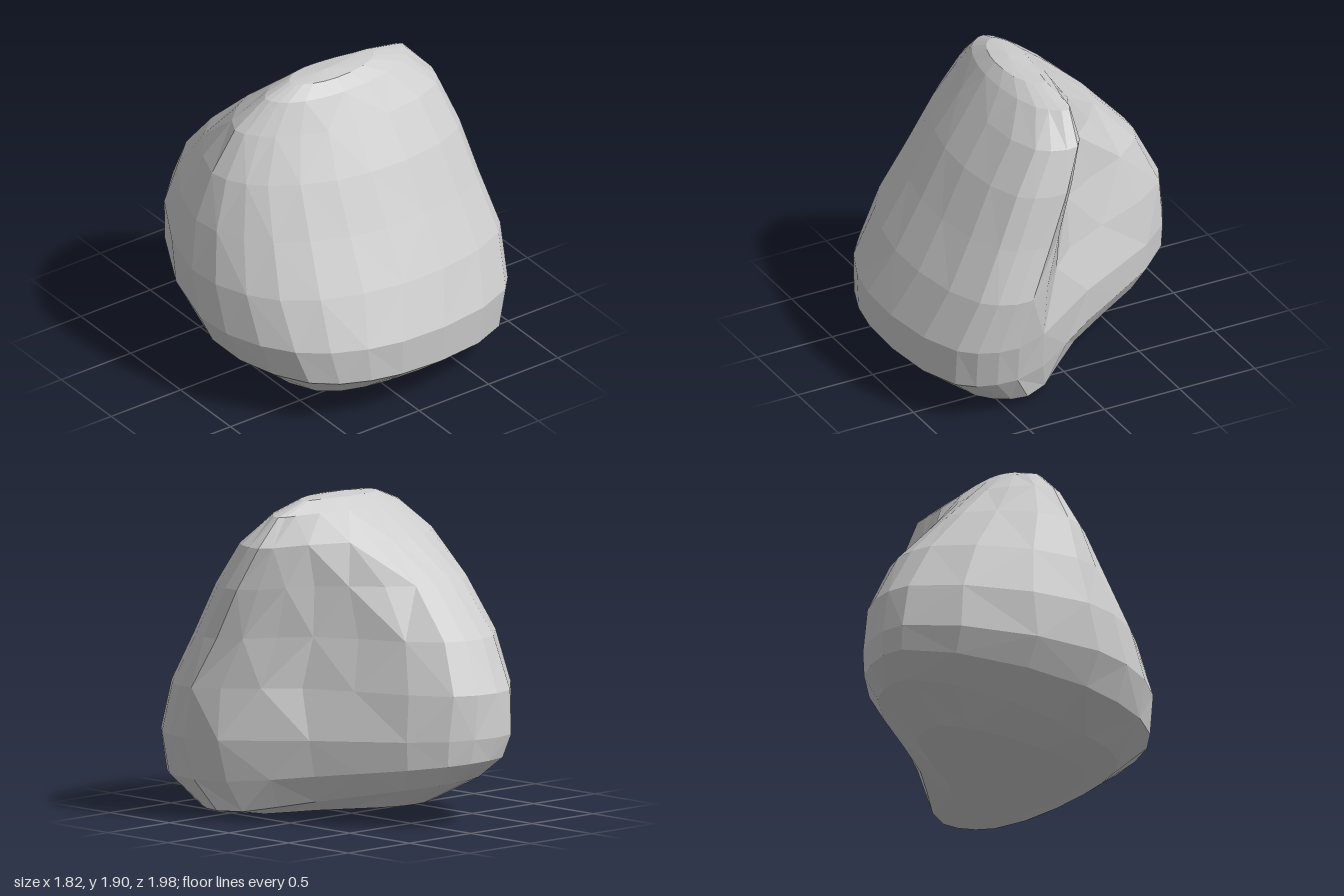
import * as THREE from 'three';

// Horizontal sections: height, then eight x,z pairs counter-clockwise from above:
// front left corner, front middle, front right corner, slab edge,
// hollow, rear ridge right, rear ridge left, flank.
const SECTIONS = [
  [0.10, -0.48, 0.64, -0.05, 0.76, 0.60, 0.64, 0.74, 0.37, 0.41, -0.12, 0.05, -0.79, -0.25, -0.81, -0.60, 0.05],
  [0.27, -0.62, 0.76, -0.10, 0.97, 0.70, 0.83, 0.82, 0.48, 0.48, -0.18, 0.07, -0.88, -0.32, -0.94, -0.82, 0.07],
  [0.50, -0.69, 0.72, -0.10, 0.98, 0.74, 0.84, 0.88, 0.50, 0.50, -0.16, 0.07, -0.89, -0.36, -0.97, -0.92, 0.08],
  [0.80, -0.70, 0.58, 0.00, 0.85, 0.78, 0.71, 0.90, 0.42, 0.46, -0.06, 0.03, -0.89, -0.38, -0.94, -0.92, 0.00],
  [1.10, -0.64, 0.43, 0.00, 0.68, 0.74, 0.56, 0.84, 0.27, 0.39, -0.08, -0.02, -0.76, -0.40, -0.78, -0.86, -0.04],
  [1.40, -0.58, 0.29, 0.00, 0.52, 0.70, 0.42, 0.80, 0.14, 0.39, -0.09, -0.05, -0.49, -0.40, -0.52, -0.76, -0.02],
  [1.65, -0.46, 0.20, 0.00, 0.36, 0.65, 0.27, 0.73, 0.03, 0.43, -0.08, 0.07, -0.23, -0.33, -0.27, -0.61, 0.00],
  [1.82, -0.34, 0.16, 0.00, 0.25, 0.47, 0.17, 0.59, 0.01, 0.40, -0.03, 0.10, -0.08, -0.24, -0.08, -0.42, 0.04],
];
const SIDES = 24;

// Smooth closed loop through one section; the underside rises toward the back and left
function ring([y, ...xz]) {
  const pts = [];
  for (let i = 0; i < xz.length; i += 2) pts.push(new THREE.Vector3(xz[i], y, xz[i + 1]));
  const curve = new THREE.CatmullRomCurve3(pts, true);
  const tilt = Math.max(0, 1 - y / 0.6);
  return Array.from({ length: SIDES }, (_, i) => {
    const p = curve.getPoint(i / SIDES);
    p.y += tilt * (0.2 * Math.max(0, 0.2 - p.z) - 0.07 * p.x);
    return p;
  });
}

// Shrinks a ring toward a cap centre
function shrink(loop, centre, flat, high) {
  return loop.map((p) => new THREE.Vector3(
    THREE.MathUtils.lerp(centre.x, p.x, flat),
    THREE.MathUtils.lerp(centre.y, p.y, high),
    THREE.MathUtils.lerp(centre.z, p.z, flat)));
}

export function createModel() {
  const rings = SECTIONS.map(ring);
  const bottom = new THREE.Vector3(0.04, 0, 0.26);
  const top = new THREE.Vector3(-0.02, 1.905, 0.09);
  rings.unshift(shrink(rings[0], bottom, 0.7, 0.4));
  rings.push(shrink(rings[rings.length - 1], top, 0.6, 0.2));

  const positions = [];
  const face = (...corners) => corners.forEach((p) => positions.push(p.x, p.y, p.z));

  // Sides between neighbouring rings, with alternating diagonals
  for (let r = 0; r < rings.length - 1; r++) {
    for (let i = 0; i < SIDES; i++) {
      const j = (i + 1) % SIDES;
      const a = rings[r][i], b = rings[r][j], c = rings[r + 1][j], d = rings[r + 1][i];
      if ((i + r) % 2) { face(a, b, c); face(a, c, d); }
      else { face(a, b, d); face(b, c, d); }
    }
  }

  // Crown and underside
  const last = rings[rings.length - 1];
  for (let i = 0; i < SIDES; i++) {
    const j = (i + 1) % SIDES;
    face(last[i], last[j], top);
    face(rings[0][j], rings[0][i], bottom);
  }

  const geometry = new THREE.BufferGeometry();
  geometry.setAttribute('position', new THREE.Float32BufferAttribute(positions, 3));
  geometry.computeVertexNormals();

  const boulder = new THREE.Mesh(geometry, new THREE.MeshStandardMaterial({ color: 0xcccccc, flatShading: true }));
  boulder.name = 'boulder';
  const group = new THREE.Group();
  group.name = 'rock';
  group.add(boulder);
  return group;
}
